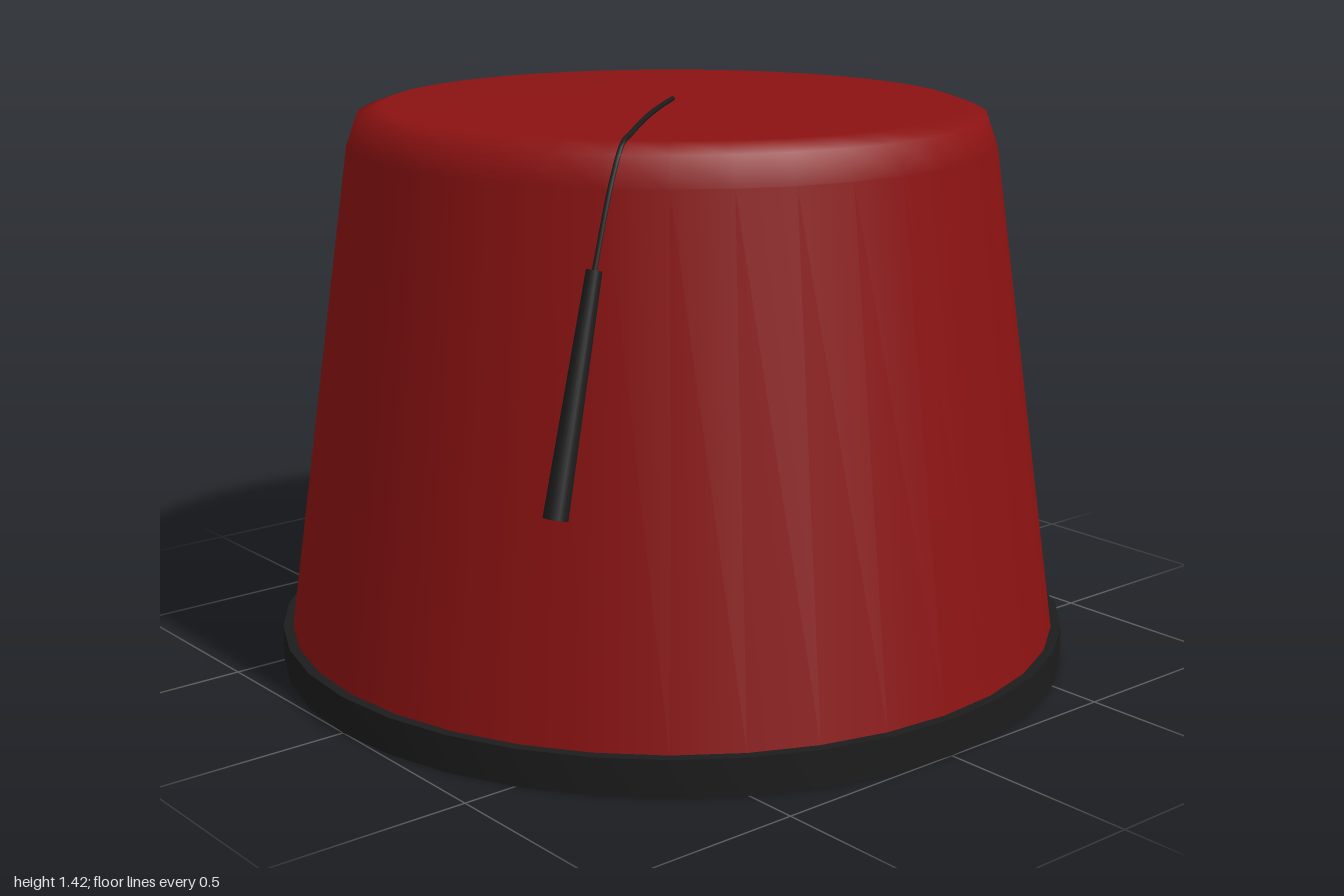
import * as THREE from 'three';
import { toCreasedNormals } from 'three/addons/utils/BufferGeometryUtils.js';

const SIDES = 36;
const v2 = (pairs) => pairs.map(([x, y]) => new THREE.Vector2(x, y));

export function createModel() {
  const hat = new THREE.Group();
  hat.name = 'tasselHat';
  const red = new THREE.MeshStandardMaterial({ color: 0x8b1212 });
  const black = new THREE.MeshStandardMaterial({ color: 0x1c1c1c });

  const add = (name, geometry, material) => {
    const mesh = new THREE.Mesh(geometry, material);
    mesh.name = name;
    hat.add(mesh);
    return mesh;
  };

  // Tapered felt body with a softly bevelled crown
  add('body', new THREE.LatheGeometry(v2([
    [0.988, 0.005], [0.975, 0.09], [0.8, 1.31], [0.775, 1.38], [0.715, 1.402], [0, 1.402],
  ]), SIDES), red);

  // Closed underside
  const base = add('underside', new THREE.CircleGeometry(0.988, SIDES), red);
  base.rotation.x = Math.PI / 2;
  base.position.y = 0.005;

  // Dark band around the bottom edge
  const band = new THREE.LatheGeometry(v2([
    [0.975, 0], [1, 0], [1, 0.09], [0.97, 0.09], [0.975, 0],
  ]), SIDES);
  add('brimBand', toCreasedNormals(band, 0.7), black);

  // Cord from the crown centre, over the edge and down
  const tasselTop = new THREE.Vector3(0.548, 1.145, 0.67);
  const tasselEnd = new THREE.Vector3(0.587, 0.628, 0.81);
  const cordPath = new THREE.CatmullRomCurve3([
    new THREE.Vector3(-0.01, 1.406, -0.01),
    new THREE.Vector3(0.14, 1.415, 0.15),
    new THREE.Vector3(0.3, 1.418, 0.325),
    new THREE.Vector3(0.45, 1.411, 0.49),
    new THREE.Vector3(0.505, 1.397, 0.56),
    new THREE.Vector3(0.525, 1.32, 0.605),
    tasselTop.clone().lerp(tasselEnd, 0.03),
  ]);
  add('cord', new THREE.TubeGeometry(cordPath, 48, 0.006, 8), black);

  // Tassel, flaring toward its lower end
  const drop = tasselTop.clone().sub(tasselEnd);
  const tassel = add('tassel', new THREE.CylinderGeometry(0.018, 0.028, drop.length(), 16), black);
  tassel.position.copy(tasselTop).add(tasselEnd).multiplyScalar(0.5);
  tassel.quaternion.setFromUnitVectors(new THREE.Vector3(0, 1, 0), drop.normalize());

  return hat;
}
